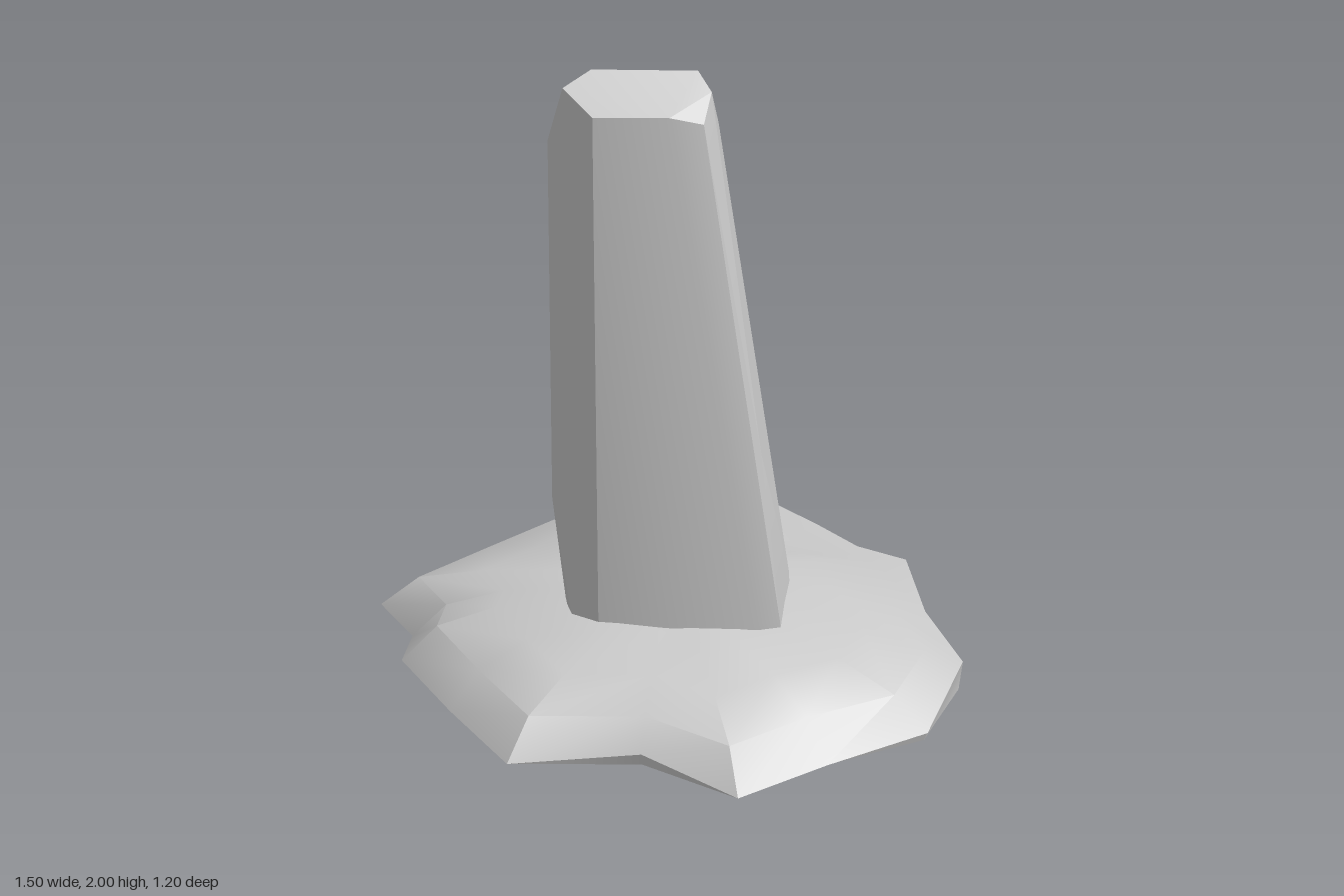
import * as THREE from 'three';
import { toCreasedNormals } from 'three/addons/utils/BufferGeometryUtils.js';
import { ConvexGeometry } from 'three/addons/geometries/ConvexGeometry.js';

const material = new THREE.MeshStandardMaterial({ color: 0xcccccc });

// Standing stone: the hull of a few irregular levels, buried tip to slanted top
function standingStone() {
  const buriedTip = [
    [-0.14, 0.005, 0.165], [-0.07, 0, 0.17], [0.31, 0.07, 0.06], [0.31, 0.065, -0.03],
    [0.12, 0.035, -0.21], [-0.165, 0.06, -0.13],
  ];
  const groundLevel = [
    [-0.24, 0.4, 0.13], [-0.22, 0.4, 0.165], [-0.14, 0.4, 0.195], [0.05, 0.4, 0.18],
    [0.25, 0.4, 0.13], [0.303, 0.4, 0.1], [0.27, 0.4, -0.12], [0.205, 0.4, -0.195],
    [0, 0.4, -0.18], [-0.14, 0.4, -0.15], [-0.245, 0.4, -0.09],
  ];
  const leftBulge = [
    [-0.268, 0.9, -0.075], [-0.27, 1.43, -0.055], [-0.275, 0.7, 0.13],
    [-0.288, 1.55, 0.03], [-0.287, 1.78, 0.13], [0.255, 0.9, 0.1],
  ];
  const backShoulder = [[0.06, 1.78, -0.09], [-0.05, 1.775, -0.075], [-0.15, 1.75, -0.065], [0.115, 1.8, -0.02]];
  const top = [
    [-0.18, 2, 0.11], [0.08, 2, 0.05], [0.125, 1.97, 0.09], [0.12, 1.91, 0.15],
    [0.04, 1.94, 0.185], [-0.15, 1.93, 0.217], [-0.24, 1.97, 0.165],
  ];
  const points = [buriedTip, groundLevel, leftBulge, backShoulder, top]
    .flat().map((p) => new THREE.Vector3(...p));
  return toCreasedNormals(new ConvexGeometry(points), 0.4);
}

// Earth mound: rings scaled from one ragged outline, with a flat underside
function earthMound() {
  // x, z and height of the upper rim
  const outline = [
    [-0.75, -0.01, 0.2], [-0.58, -0.22, 0.23], [-0.33, -0.44, 0.28], [-0.25, -0.55, 0.27],
    [0.02, -0.6, 0.293], [0.25, -0.5, 0.28], [0.37, -0.42, 0.29], [0.5, -0.4, 0.285],
    [0.6, -0.2, 0.28], [0.745, -0.01, 0.28], [0.715, 0.23, 0.22], [0.5, 0.4, 0.2],
    [0.32, 0.595, 0.2], [0.05, 0.51, 0.23], [-0.275, 0.59, 0.2], [-0.47, 0.4, 0.2],
    [-0.64, 0.215, 0.2], [-0.64, 0.105, 0.2],
  ];
  // scale and height of each ring; no height means the rim's own
  const rings = [[0, 0.195], [0.985, 0.195], [1], [0.87, 0.3], [0.65, 0.35], [0.38, 0.388], [0, 0.4]];
  const n = outline.length;
  const positions = [], index = [];
  rings.forEach(([s, y], r) => {
    outline.forEach(([x, z, rimY], i) => {
      positions.push(x * s, y ?? rimY, z * s);
      if (r === rings.length - 1) return;
      const a = r * n + i, b = r * n + (i + 1) % n;
      if (r > 0) index.push(a, a + n, b);
      if (r < rings.length - 2) index.push(a + n, b + n, b);
    });
  });
  const geometry = new THREE.BufferGeometry();
  geometry.setAttribute('position', new THREE.Float32BufferAttribute(positions, 3));
  geometry.setIndex(index);
  return toCreasedNormals(geometry, 0.65);
}

export function createModel() {
  const model = new THREE.Group();
  model.name = 'standingStoneOnMound';
  const parts = { standingStone: standingStone(), earthMound: earthMound() };
  for (const [name, geometry] of Object.entries(parts)) {
    const mesh = new THREE.Mesh(geometry, material);
    mesh.name = name;
    model.add(mesh);
  }
  return model;
}
